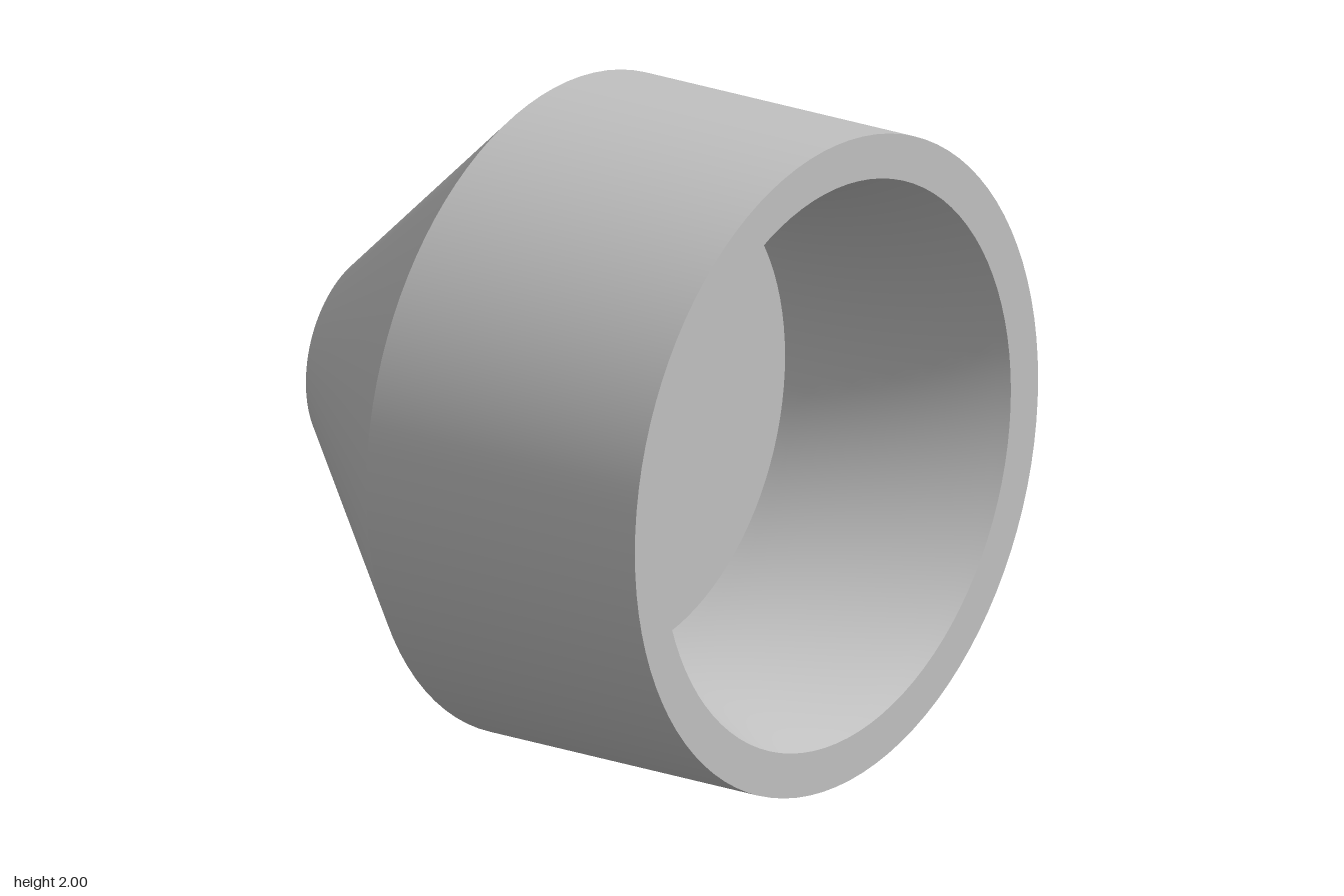
import * as THREE from 'three';

const SEGMENTS = 96;
const FRONT = 0.857, BACK = -0.857, SHOULDER = -0.13, FLOOR = 0.135;
const BORE_RADIUS = 0.22, BORE_END = -0.1;

// Threaded bore: an open cylinder, turned inside out, with a helical ridge
function threadGeometry() {
  const length = BORE_END - BACK, pitch = 0.105, depth = 0.035;
  const g = new THREE.CylinderGeometry(BORE_RADIUS, BORE_RADIUS, length, 64, 96, true);
  const p = g.attributes.position;
  for (let i = 0; i < p.count; i++) {
    const y = p.getY(i) + length / 2; // distance from the mouth
    const turn = g.attributes.uv.getX(i);
    const phase = (((y / pitch + turn) % 1) + 1) % 1;
    const ridge = THREE.MathUtils.clamp(1.5 - Math.abs(phase - 0.5) * 4, 0, 1);
    const fade = THREE.MathUtils.clamp((y - 0.03) / 0.03, 0, 1)
      * THREE.MathUtils.clamp((length - y) / 0.03, 0, 1);
    const k = (BORE_RADIUS - depth * ridge * fade) / BORE_RADIUS;
    p.setX(i, p.getX(i) * k);
    p.setZ(i, p.getZ(i) * k);
  }
  g.setIndex(Array.from(g.index.array).reverse());
  g.computeVertexNormals();
  return g.translate(0, (BACK + BORE_END) / 2, 0);
}

export function createModel() {
  const model = new THREE.Group();
  model.name = 'threadedCup';
  const metal = new THREE.MeshStandardMaterial({ color: 0xc0c0c0 });
  metal.name = 'plain grey';

  // All parts are turned about y, then laid along z
  function add(name, geometry) {
    geometry.rotateX(Math.PI / 2);
    const mesh = new THREE.Mesh(geometry, metal);
    mesh.name = name;
    mesh.position.y = 1;
    model.add(mesh);
  }
  const turned = (name, points) =>
    add(name, new THREE.LatheGeometry(points.map(([r, z]) => new THREE.Vector2(r, z)), SEGMENTS));

  // Outer shell, each surface separate so its edges stay sharp
  turned('backRim', [[BORE_RADIUS, BACK], [0.317, BACK]]);
  turned('taperedBack', [[0.317, BACK], [1, SHOULDER]]);
  turned('cylindricalBody', [[1, SHOULDER], [1, FRONT]]);
  turned('frontRim', [[1, FRONT], [0.865, FRONT]]);

  // Flared recess wall: an arc that runs straight into the floor
  const rise = 0.145, run = FRONT - FLOOR;
  const sweep = 2 * Math.atan(rise / run), radius = run / Math.sin(sweep);
  const flare = [];
  for (let i = 0; i <= 16; i++) {
    const a = sweep * (1 - i / 16);
    flare.push([0.72 + radius * (1 - Math.cos(a)), FLOOR + radius * Math.sin(a)]);
  }
  turned('recessWall', flare);
  turned('recessFloor', [[0.72, FLOOR], [0, FLOOR]]);

  // Blind threaded hole at the back
  add('threadedBore', threadGeometry());
  turned('boreEnd', [[0, BORE_END], [BORE_RADIUS, BORE_END]]);

  return model;
}
